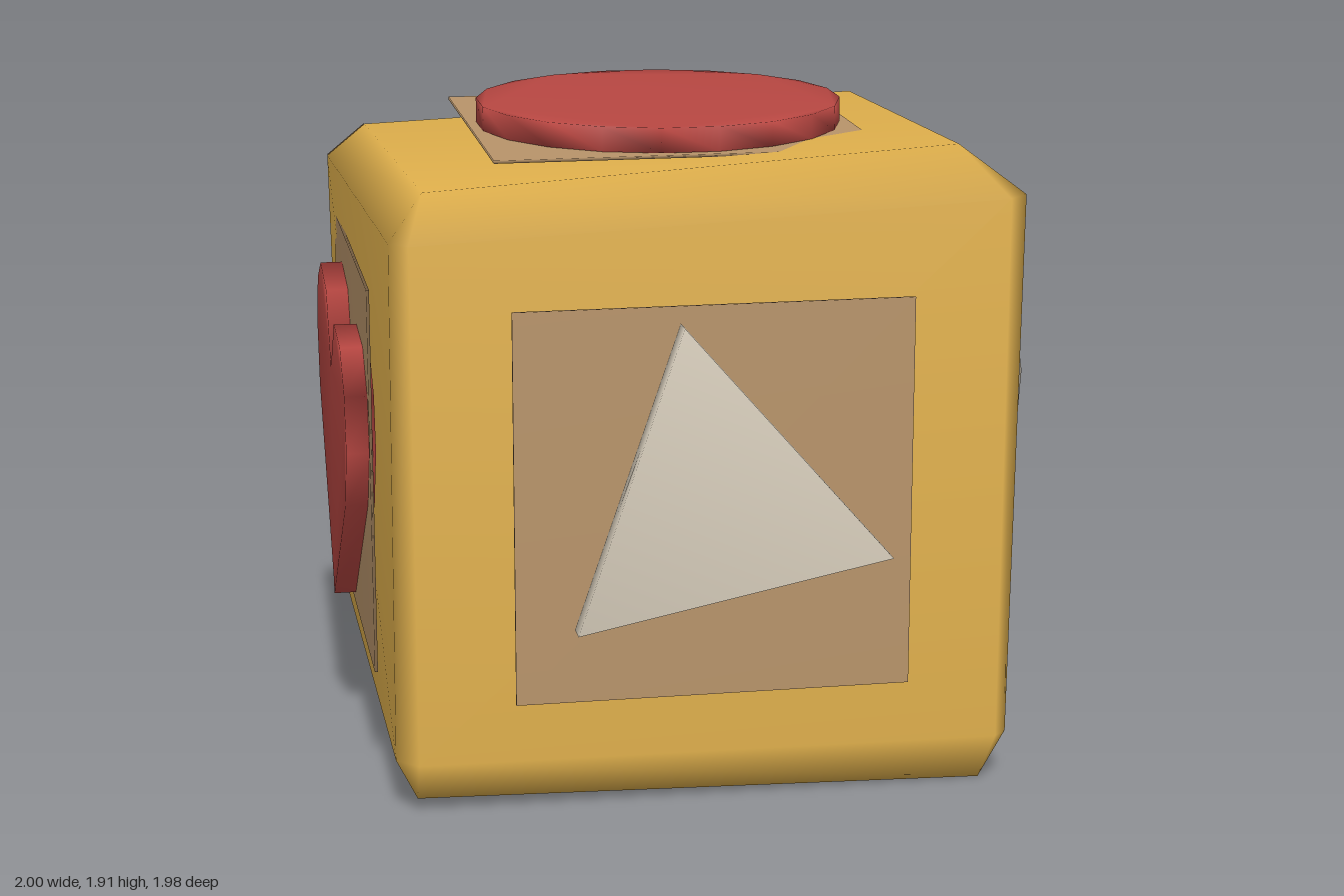
import * as THREE from 'three';
import { mergeVertices } from 'three/addons/utils/BufferGeometryUtils.js';
import { ConvexGeometry } from 'three/addons/geometries/ConvexGeometry.js';

const material = (name, color, side = THREE.FrontSide) => {
  const m = new THREE.MeshStandardMaterial({ color, side });
  m.name = name;
  return m;
};

// Share vertices so that the normals run softly across the edges
function smooth(geometry) {
  geometry.deleteAttribute('uv');
  geometry.deleteAttribute('normal');
  const merged = mergeVertices(geometry, 1e-4);
  merged.computeVertexNormals();
  return merged;
}

function addMesh(parent, name, geometry, mat) {
  const mesh = new THREE.Mesh(geometry, mat);
  mesh.name = name;
  parent.add(mesh);
  return mesh;
}

// Flat outline extruded between two distances from the block's axis
function plate(outline, from, to) {
  const shape = new THREE.Shape(outline.map(([x, y]) => new THREE.Vector2(x, y)));
  const g = new THREE.ExtrudeGeometry(shape, { depth: to - from, bevelEnabled: false });
  g.translate(0, 0, from);
  return smooth(g);
}

// Three chamfer points of a corner: side inset s, top inset t, drop d
function cornerPoints([x, y, z, s, t, d]) {
  const sx = Math.sign(x), sz = Math.sign(z), sy = y > 0.9 ? 1 : -1;
  return [
    new THREE.Vector3(x, y - sy * d, z - sz * s),
    new THREE.Vector3(x - sx * t, y, z - sz * t),
    new THREE.Vector3(x - sx * s, y - sy * d, z),
  ];
}

export function createModel() {
  const model = new THREE.Group();
  model.name = 'toyBlock';
  const yellow = material('yellow', 0xe0b04c);
  const tan = material('tan', 0xb8946a);
  const red = material('red', 0xb84742);
  const cream = material('cream', 0xd8cebc);
  const tanPatch = material('tanPatch', 0xb8946a, THREE.DoubleSide);

  // Uneven chamfered block
  const corners = [
    [0.91, 1.865, 0.87, 0.06, 0.17, 0.13],
    [-0.89, 1.785, 0.85, 0.05, 0.1, 0.13],
    [0.91, 1.785, -0.9, 0.13, 0.14, 0.1],
    [-0.94, 1.73, -0.84, 0.11, 0.12, 0.1],
    [0.88, 0, 0.89, 0.04, 0.07, 0.15],
    [-0.9, 0.04, 0.87, 0.06, 0.06, 0.12],
    [0.9, 0, -0.91, 0.1, 0.12, 0.16],
    [-0.91, 0.04, -0.9, 0.08, 0.08, 0.14],
  ].map(cornerPoints);
  addMesh(model, 'block', smooth(new ConvexGeometry(corners.flat())), yellow);

  // Bare patch on one chamfered corner
  const lift = new THREE.Vector3(-0.002, 0.002, -0.002);
  const patch = new THREE.BufferGeometry().setFromPoints(corners[3].map((p) => p.clone().add(lift)));
  patch.setIndex([0, 1, 2]);
  patch.computeVertexNormals();
  if (patch.attributes.normal.getY(0) < 0) {
    patch.setIndex([0, 2, 1]);
    patch.computeVertexNormals();
  }
  addMesh(model, 'cornerPatch', patch, tanPatch);

  // Outlines of the raised shapes
  const heart = [
    [-0.075, 0.38], [0.47, 0.82], [0.56, 1.0], [0.53, 1.16], [0.41, 1.275], [0.2, 1.295], [0.03, 1.12],
    [-0.09, 1.335], [-0.3, 1.375], [-0.44, 1.3], [-0.52, 1.15], [-0.48, 0.95], [-0.09, 0.43],
  ];
  const star = [
    [0, 1.44], [-0.13, 1.12], [-0.5, 1.09], [-0.21, 0.85], [-0.29, 0.49],
    [0, 0.69], [0.34, 0.47], [0.21, 0.86], [0.5, 1.1], [0.16, 1.13],
  ];
  const triangle = [[-0.1, 1.43], [-0.4, 0.56], [0.5, 0.74]];
  const circle = Array.from({ length: 20 }, (_, i) => {
    const a = ((i + 0.5) / 20) * Math.PI * 2;
    return [0.545 * Math.cos(a), 0.545 * Math.sin(a)];
  });
  const square = (cy) => [[-0.567, cy - 0.567], [0.567, cy - 0.567], [0.567, cy + 0.567], [-0.567, cy + 0.567]];

  // Each side: name, outline, colour, turn, panel distance, shape start and end
  const sides = [
    ['front', 'Triangle', triangle, cream, 0, 0.92, 0.925, 0.99],
    ['left', 'Heart', heart, cream, Math.PI / 2, 0.915, 0.92, 0.998],
    ['back', 'Star', star, red, Math.PI, 0.92, 0.92, 0.988],
    ['right', 'Heart', heart, red, -Math.PI / 2, 0.934, 0.915, 1.0],
  ];
  for (const [side, label, outline, mat, turn, panelAt, from, to] of sides) {
    const face = new THREE.Group();
    face.name = side + 'Face';
    face.rotation.y = turn;
    addMesh(face, side + 'Panel', plate(square(0.91), panelAt - 0.009, panelAt), tan);
    addMesh(face, side + label, plate(outline, from, to), mat);
    model.add(face);
  }

  // Top panel and disc
  const top = new THREE.Group();
  top.name = 'topFace';
  top.rotation.x = -Math.PI / 2;
  addMesh(top, 'topPanel', plate(square(0), 1.825, 1.834), tan);
  addMesh(top, 'topDisc', plate(circle, 1.835, 1.907), red);
  model.add(top);

  return model;
}
